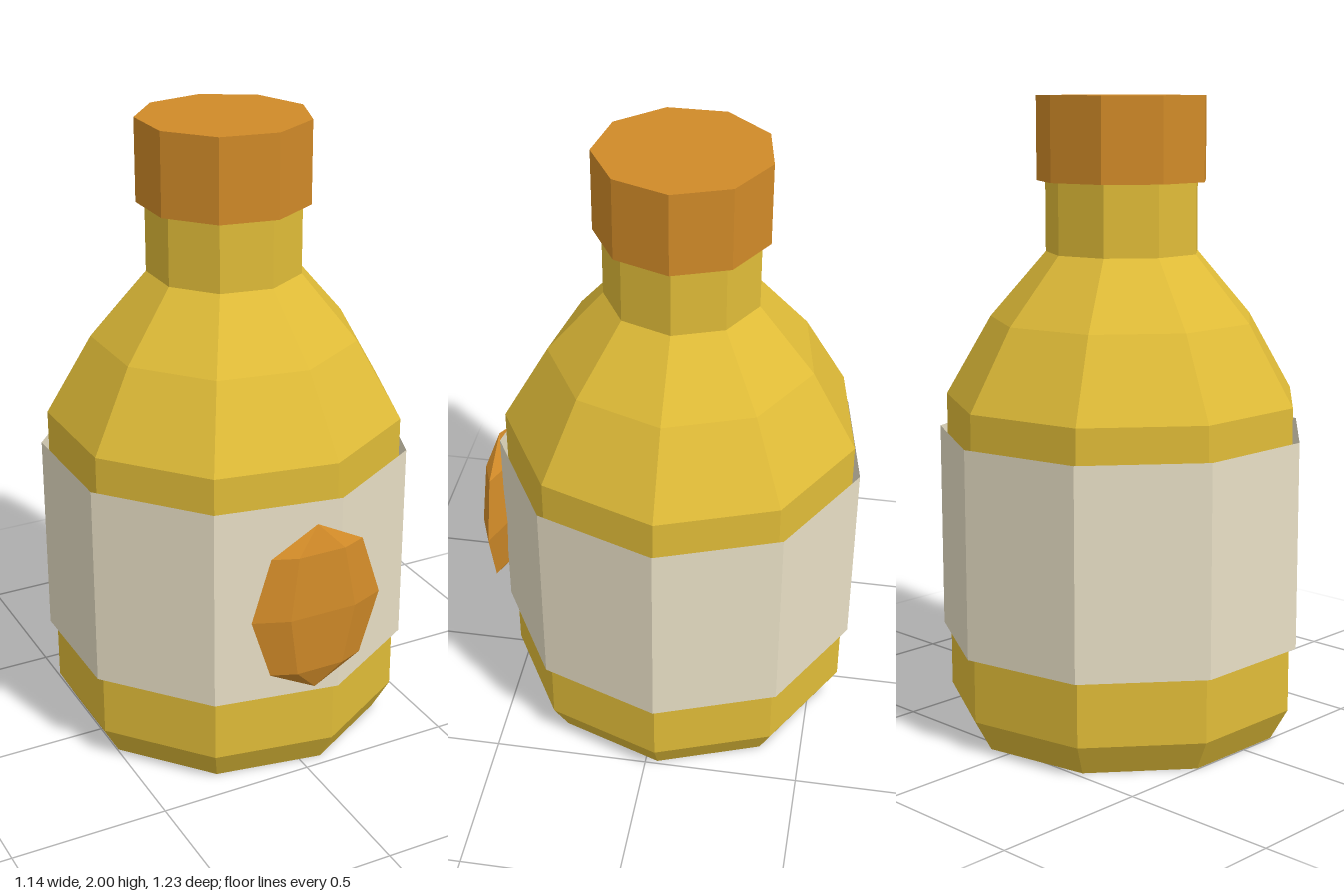
import * as THREE from 'three';

const SIDES = 9;

function mesh(name, geometry, color, side = THREE.FrontSide) {
  const m = new THREE.Mesh(geometry, new THREE.MeshStandardMaterial({ color, flatShading: true, side }));
  m.name = name;
  return m;
}

// Nine-sided turned part with one corner pointing to +x; profile runs [radius, y] from bottom to top
function turned(profile) {
  const points = profile.map(([r, y]) => new THREE.Vector2(r, y));
  return new THREE.LatheGeometry(points, SIDES, Math.PI / 2);
}

export function createModel() {
  const model = new THREE.Group();
  model.name = 'bottle';

  // Glass body: chamfered foot, straight wall, two-step shoulder, neck
  const body = mesh('body', turned([
    [0, 0], [0.508, 0], [0.564, 0.1], [0.564, 1.065],
    [0.42, 1.315], [0.243, 1.52], [0.243, 1.76], [0, 1.76],
  ]), 0xe0bc38);

  // Stopper on the neck
  const cap = mesh('cap', turned([[0, 1.74], [0.27, 1.74], [0.27, 2], [0, 2]]), 0xd08a28);

  // Paper band, open at both ends
  const label = mesh('label', turned([[0.587, 0.305], [0.587, 0.96]]), 0xe8dfc5, THREE.DoubleSide);

  // Flattened gem on the front of the label
  const emblem = mesh('emblem', new THREE.SphereGeometry(1, 6, 4), 0xd08a28);
  emblem.scale.set(0.22, 0.28, 0.05);
  emblem.position.set(0, 0.63, 0.608);

  model.add(body, cap, label, emblem);
  // Shift the turning axis so the whole model is centred
  model.position.set(-0.019, 0, -0.039);
  return model;
}
